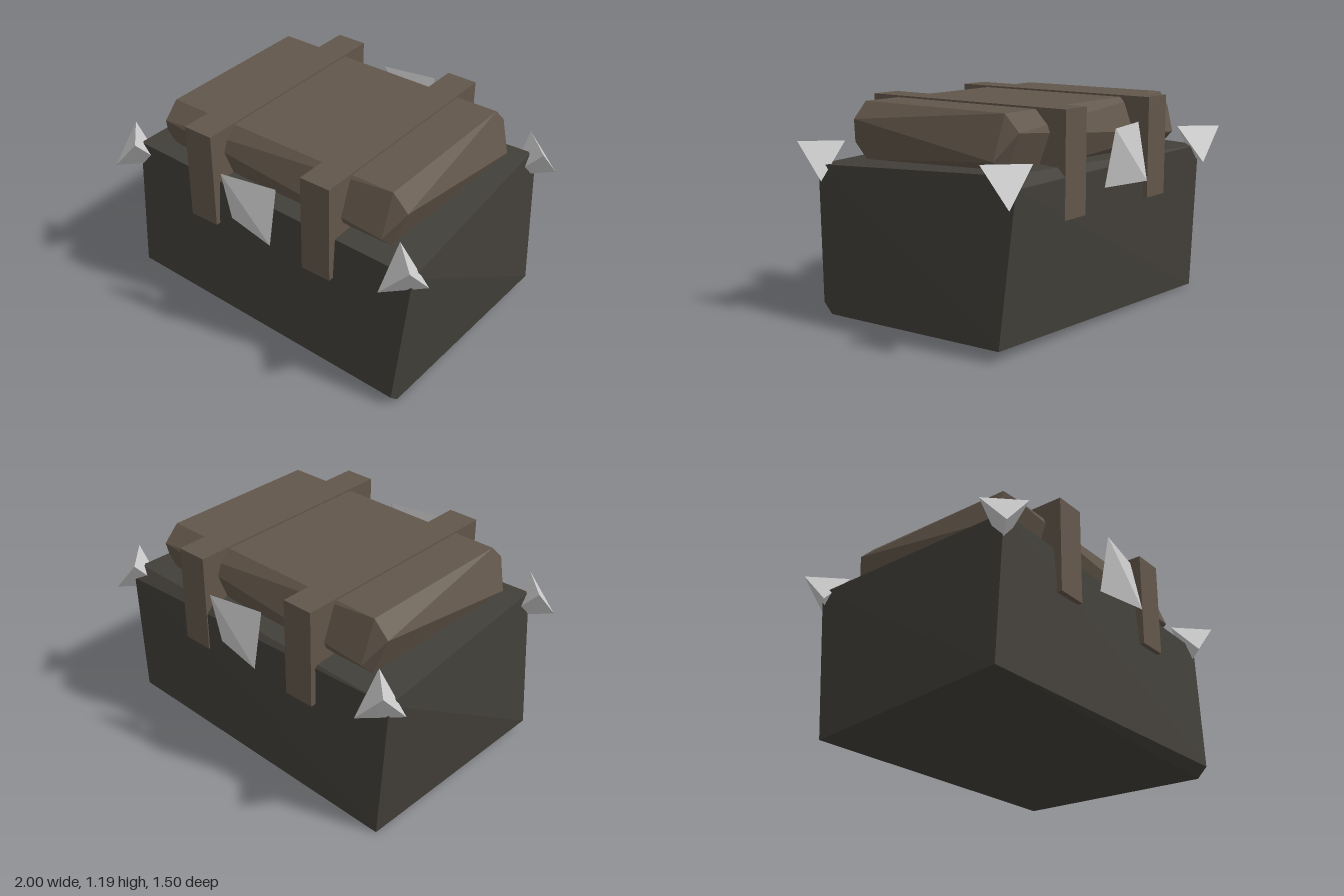
import * as THREE from 'three';
import { ConvexGeometry } from 'three/addons/geometries/ConvexGeometry.js';

const material = (color) => new THREE.MeshStandardMaterial({ color, flatShading: true });

// Faceted solid spanned by a handful of corner points
const hull = (points) => new ConvexGeometry(points.map((p) => new THREE.Vector3(...p)));

// Tetrahedron on alternate corners of a w x h x d box; dir picks which diagonal is on top
function wedge(w, h, d, dir) {
  const x = w / 2, y = h / 2, z = (d / 2) * dir;
  return hull([[x, y, z], [-x, y, -z], [x, -y, -z], [-x, -y, z]]);
}

export function createModel() {
  const group = new THREE.Group();
  const dark = material(0x423f39);
  const brown = material(0x62564a);
  const metal = material(0xcccccc);

  function add(name, geometry, mat, x = 0, y = 0, z = 0) {
    const mesh = new THREE.Mesh(geometry, mat);
    mesh.name = name;
    mesh.position.set(x, y, z);
    group.add(mesh);
  }

  // Chest body: a skewed box with unevenly clipped corners
  add('body', hull([
    [0.89, 0, 0.62], [0.89, 0.06, 0.68], [0.95, 0.06, -0.62],
    [-0.95, 0.06, 0.62], [-0.89, 0, -0.62],
    [-0.89, 0.91, 0.62], [0.95, 0.85, 0.62], [0.89, 0.91, -0.62],
    [0.89, 0.85, -0.68], [-0.95, 0.85, -0.62],
  ]), dark);

  // Lid: chamfered slab whose side corners alternate between high and low
  const lid = [];
  for (const sx of [-1, 1]) {
    for (const sz of [-1, 1]) {
      const same = sx === sz;
      lid.push([sx * 0.725, 1.18, sz * 0.48], [sx * 0.725, 0.86, sz * 0.48]);
      lid.push([sx * 0.815, same ? 1.09 : 0.95, sz * 0.48]);
      lid.push([sx * 0.725, same ? 0.95 : 1.09, sz * 0.57]);
    }
  }
  // The back-left and front-right corners carry the high side points
  add('lid', hull(lid), brown);

  // Straps over the lid, plates front and back
  for (const s of [-1, 1]) {
    add('strap', new THREE.BoxGeometry(0.18, 0.56, 1.334), brown, s * 0.388, 0.91, 0);
    add('claspPlate', wedge(0.316, 0.315, 0.062, -1), metal, 0, 0.9125, s * 0.72);
  }

  // Metal corner studs
  for (const sx of [-1, 1]) {
    for (const sz of [-1, 1]) {
      add('cornerStud', wedge(0.18, 0.2, 0.18, 1), metal, sx * 0.91, 0.87, sz * 0.638);
    }
  }
  return group;
}
